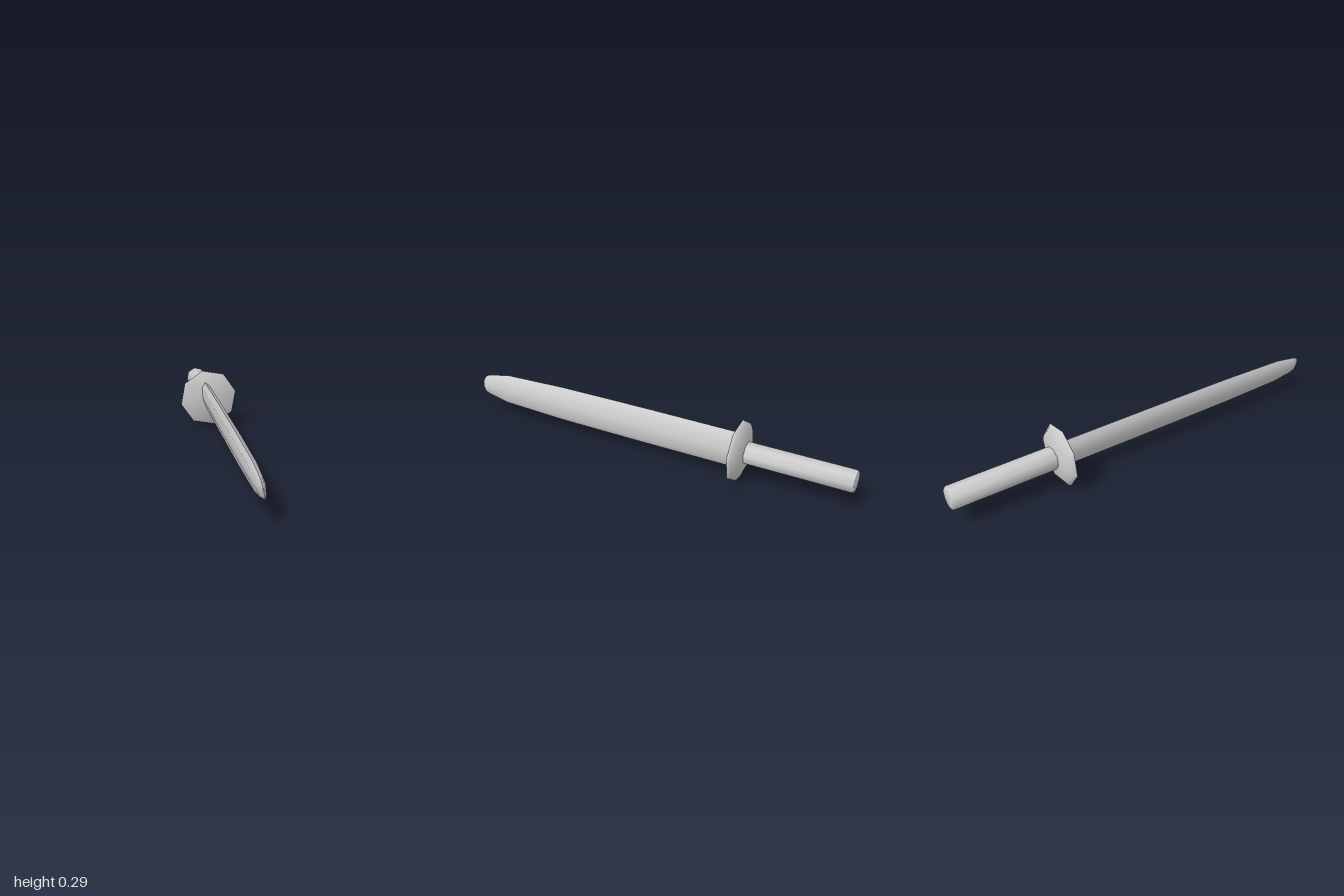
import * as THREE from 'three';
import { toCreasedNormals } from 'three/addons/utils/BufferGeometryUtils.js';

const AXIS_HEIGHT = 0.148;
const ROLL = THREE.MathUtils.degToRad(12.4);

// Eight-sided turned part along z. Rows are [z, radius, halfThickness = radius], back to front.
function turnedPart(name, rows) {
  const geometry = new THREE.LatheGeometry(rows.map(([z, r]) => new THREE.Vector2(r, z)), 8);
  const position = geometry.attributes.position;
  for (let i = 0; i < position.count; i++) {
    const [, r, thickness = r] = rows[i % rows.length];
    if (r > 0) position.setX(i, position.getX(i) * thickness / r);
  }
  geometry.rotateX(Math.PI / 2);
  geometry.rotateZ(ROLL);
  const material = new THREE.MeshStandardMaterial({ color: 0xcccccc });
  const mesh = new THREE.Mesh(toCreasedNormals(geometry, 0.87), material);
  mesh.name = name;
  mesh.position.y = AXIS_HEIGHT;
  return mesh;
}

export function createModel() {
  const group = new THREE.Group();
  group.name = 'sword';

  // Straight grip with a small bevel at the butt
  group.add(turnedPart('grip', [
    [-1, 0], [-1, 0.049], [-0.997, 0.053], [-0.99, 0.055], [-0.48, 0.055], [-0.48, 0],
  ]));

  // Domed guard, flat towards the blade
  group.add(turnedPart('guard', [
    [-0.499, 0], [-0.497, 0.05], [-0.491, 0.085], [-0.481, 0.115], [-0.467, 0.139],
    [-0.458, 0.148], [-0.453, 0.149], [-0.451, 0.146], [-0.453, 0],
  ]));

  // Lens-shaped blade tapering to a blunt tip
  group.add(turnedPart('blade', [
    [-0.47, 0, 0], [-0.47, 0.085, 0.03], [0.05, 0.086, 0.03], [0.5, 0.084, 0.029],
    [0.84, 0.073, 0.026], [0.95, 0.053, 0.02], [0.98, 0.044, 0.013],
    [0.995, 0.026, 0.005], [1, 0.012, 0.002], [1, 0, 0],
  ]));

  return group;
}
